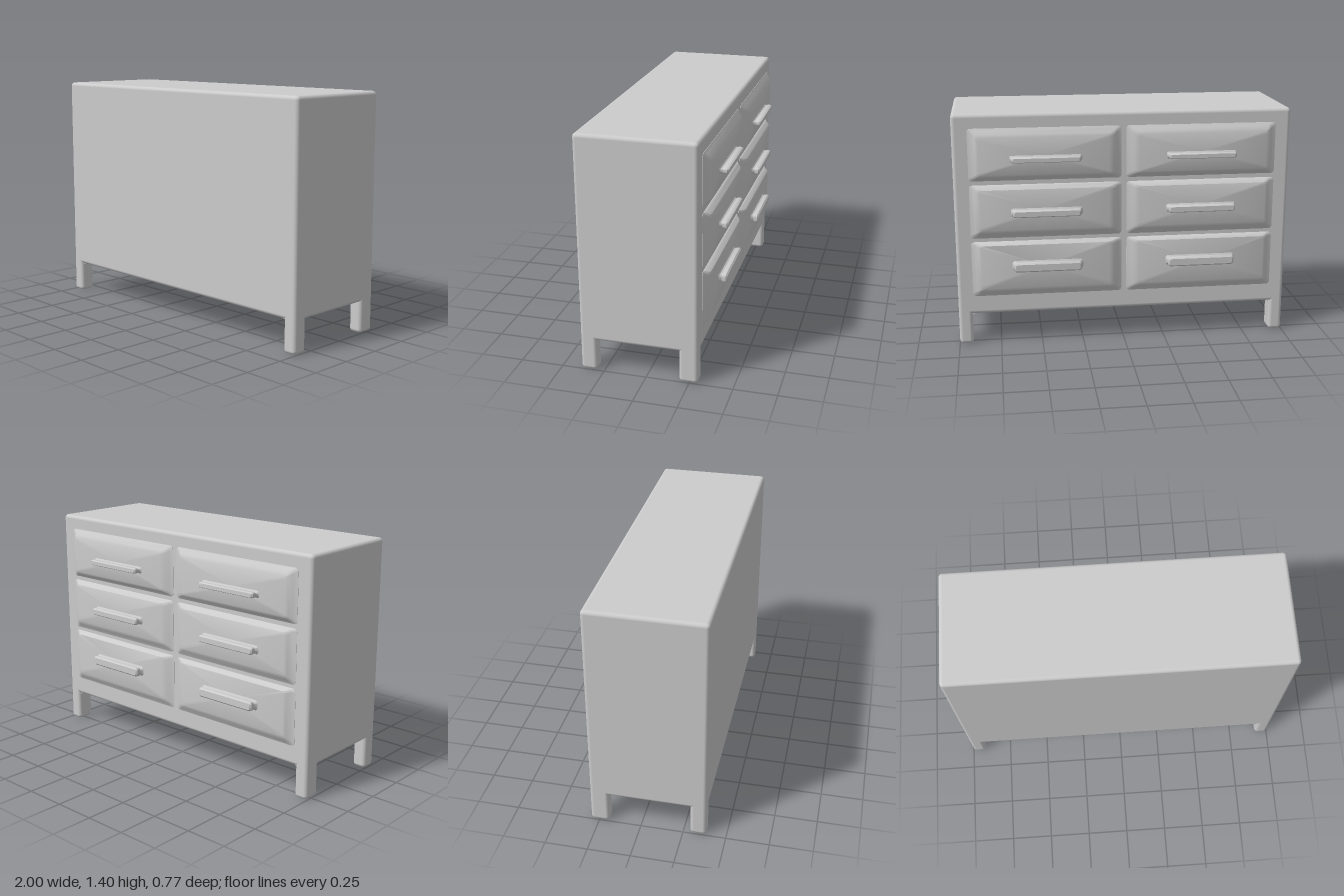
import * as THREE from 'three';
import { RoundedBoxGeometry } from 'three/addons/geometries/RoundedBoxGeometry.js';
import { toCreasedNormals } from 'three/addons/utils/BufferGeometryUtils.js';

const material = new THREE.MeshStandardMaterial({ color: 0xcccccc });

function addMesh(parent, name, geometry) {
  const mesh = new THREE.Mesh(geometry, material);
  mesh.name = name;
  parent.add(mesh);
  return mesh;
}

// Rounded box given by its minimum and maximum corners.
function box(parent, name, min, max, radius) {
  const size = max.map((v, i) => v - min[i]);
  const mesh = addMesh(parent, name, new RoundedBoxGeometry(...size, 4, radius));
  mesh.position.set(...max.map((v, i) => (v + min[i]) / 2));
}

// Rounded rectangles [z, x0, x1, y0, y1, radius] joined towards -z and capped.
function loft(rings) {
  const steps = 4, n = 4 * (steps + 1), positions = [], index = [];
  for (const [z, x0, x1, y0, y1, r] of rings) {
    const corners = [[x1 - r, y0 + r], [x1 - r, y1 - r], [x0 + r, y1 - r], [x0 + r, y0 + r]];
    corners.forEach(([cx, cy], c) => {
      for (let s = 0; s <= steps; s++) {
        const a = (c - 1 + s / steps) * Math.PI / 2;
        positions.push(cx + r * Math.cos(a), cy + r * Math.sin(a), z);
      }
    });
  }
  const last = rings[rings.length - 1], centre = rings.length * n;
  positions.push((last[1] + last[2]) / 2, (last[3] + last[4]) / 2, last[0]);
  for (let i = 0; i < n; i++) {
    const j = (i + 1) % n;
    for (let k = 0; k < rings.length - 1; k++) {
      const a = k * n, b = a + n;
      index.push(a + i, b + i, a + j, a + j, b + i, b + j);
    }
    index.push(centre, centre - n + j, centre - n + i);
  }
  const geometry = new THREE.BufferGeometry();
  geometry.setAttribute('position', new THREE.Float32BufferAttribute(positions, 3));
  geometry.setIndex(index);
  return toCreasedNormals(geometry, 0.7);
}

export function createModel() {
  const model = new THREE.Group();
  model.name = 'dresser';

  // Cabinet
  box(model, 'cabinet', [-1, 0.19, -0.3], [1, 1.405, 0.385], 0.022);

  // Corner legs, flush with the cabinet, with a small fillet under the apron
  const filletShape = new THREE.Shape();
  filletShape.moveTo(0.925, 0.2);
  filletShape.lineTo(0.88, 0.2);
  filletShape.lineTo(0.885, 0.19);
  filletShape.quadraticCurveTo(0.92, 0.19, 0.92, 0.16);
  filletShape.lineTo(0.925, 0.16);
  for (const side of [-1, 1]) {
    for (const [z0, z1] of [[-0.3, -0.19], [0.29, 0.385]]) {
      const x = [side * 1, side * 0.917].sort((a, b) => a - b);
      box(model, 'leg', [x[0], 0, z0], [x[1], 0.4, z1], 0.022);
      const fillet = new THREE.ExtrudeGeometry(filletShape, { depth: z1 - z0 - 0.04, bevelEnabled: false });
      fillet.translate(0, 0, z0 + 0.02);
      if (side < 0) fillet.rotateY(Math.PI).translate(0, 0, z0 + z1);
      addMesh(model, 'legFillet', fillet);
    }
  }

  // Drawer rows: bottom, top, slope height below and above, handle height and half thickness
  const rows = [
    [0.305, 0.643, 0.055, 0.018, 0.497, 0.028],
    [0.665, 0.987, 0.055, 0.025, 0.825, 0.021],
    [1.012, 1.322, 0.04, 0.05, 1.145, 0.016],
  ];
  for (const side of [-1, 1]) {
    for (const [y0, y1, low, high, hy, t] of rows) {
      const drawer = new THREE.Group();
      drawer.name = 'drawer';
      model.add(drawer);

      // Horizontal span for insets from the outer and inner edges
      const span = (outer, inner) => [side * (0.91 - outer), side * (0.015 + inner)].sort((a, b) => a - b);

      // Raised front with soft sloping edges
      addMesh(drawer, 'drawerFront', loft([
        [-0.29, ...span(0, 0), y0, y1, 0.02],
        [-0.302, ...span(0, 0), y0, y1, 0.02],
        [-0.312, ...span(0.028, 0.025), y0 + low * 0.35, y1 - high * 0.3, 0.018],
        [-0.327, ...span(0.042, 0.045), y0 + low * 0.65, y1 - high * 0.65, 0.016],
        [-0.335, ...span(0.06, 0.075), y0 + low, y1 - high, 0.014],
      ]));

      // Bar handle with a narrow neck and bevelled rim
      const bar = (z, grow, h) => [z, ...span(0.25 - grow, 0.245 - grow), hy - h, hy + h, h * 0.6];
      addMesh(drawer, 'handle', loft([
        bar(-0.33, 0.016, t + 0.012),
        bar(-0.34, 0.006, t * 0.8),
        bar(-0.35, 0, t * 0.7),
        bar(-0.357, 0, t),
        bar(-0.376, 0, t),
        bar(-0.385, -0.009, t * 0.7),
      ]));
    }
  }
  return model;
}
